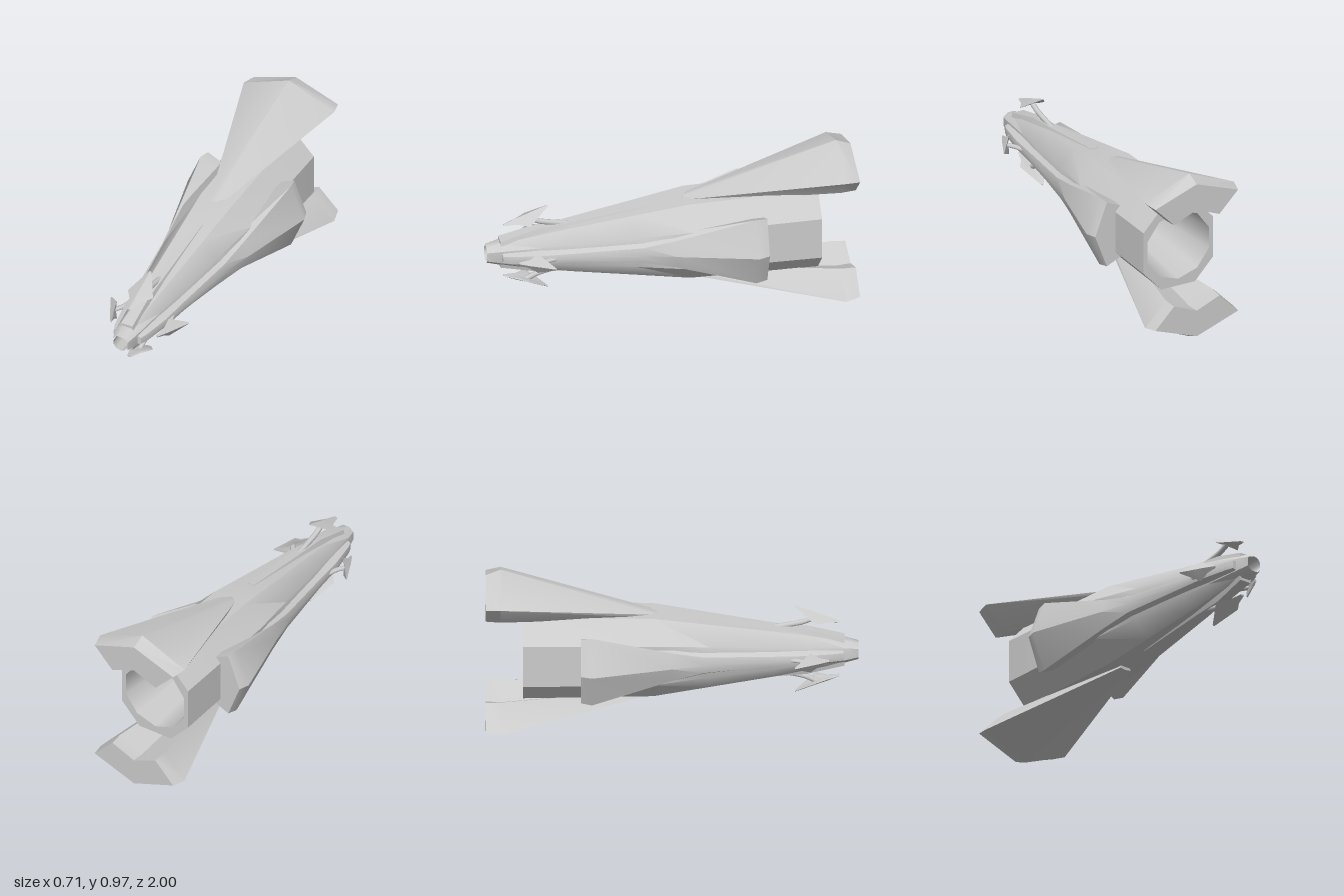
import * as THREE from 'three';
import { toCreasedNormals } from 'three/addons/utils/BufferGeometryUtils.js';

const CY = 0.495; // height of the long axis
const material = new THREE.MeshStandardMaterial({ color: 0xcccccc });
const innerMaterial = new THREE.MeshStandardMaterial({ color: 0xcccccc, side: THREE.BackSide });

// Skin a list of rings (counterclockwise seen from +z, ordered front to back).
function loft(name, rings, { caps = true, crease = 0.6 } = {}) {
  const pos = [], n = rings[0].length;
  const tri = (a, b, c) => pos.push(...a, ...b, ...c);
  for (let i = 0; i < rings.length - 1; i++) {
    const r = rings[i], s = rings[i + 1];
    for (let j = 0; j < n; j++) {
      const k = (j + 1) % n;
      tri(r[j], s[j], r[k]);
      tri(r[k], s[j], s[k]);
    }
  }
  if (caps) {
    const f = rings[0], b = rings[rings.length - 1];
    for (let j = 1; j < n - 1; j++) {
      tri(f[0], f[j], f[j + 1]);
      tri(b[0], b[j + 1], b[j]);
    }
  }
  const geo = new THREE.BufferGeometry();
  geo.setAttribute('position', new THREE.Float32BufferAttribute(pos, 3));
  const mesh = new THREE.Mesh(toCreasedNormals(geo, crease), material);
  mesh.name = name;
  return mesh;
}

// Octagon of half height h and half width w.
function octagon(z, h, w) {
  const a = 0.43 * h, b = 0.56 * w;
  return [[w, -b, z], [w, b, z], [a, h, z], [-a, h, z], [-w, b, z], [-w, -b, z], [-a, -h, z], [a, -h, z]];
}

// Chevron section pointing outward along +y.
function chevron([z, ridge, tipX, tipY, lowX, lowY, inner]) {
  return [[0, ridge, z], [-tipX, tipY, z], [-lowX, lowY, z], [0, inner, z], [lowX, lowY, z], [tipX, tipY, z]];
}

function quad([z, x0, y0, x1, y1]) {
  return [[x1, y1, z], [-x1, y1, z], [-x0, y0, z], [x0, y0, z]];
}

// Small dart-shaped plate on a curved strut.
function winglet(size, drop) {
  const g = new THREE.Group();
  const plate = loft('wingletPlate', [
    [0.9, 0.17, 0.012, 0.164, 0.006, 0.16, 0.16],
    [0.83, 0.2, 0.034, 0.178, 0.02, 0.174, 0.18],
    [0.77, 0.222, 0.076, 0.182, 0.035, 0.184, 0.195],
    [0.66, 0.264, 0.008, 0.258, 0.004, 0.257, 0.258],
  ].map(chevron));
  const path = new THREE.CatmullRomCurve3([
    [0, 0.134, 0.54], [0, 0.152, 0.64], [0, 0.168, 0.71], [0, 0.2, 0.78],
  ].map((p) => new THREE.Vector3(...p)));
  const strut = new THREE.Mesh(new THREE.TubeGeometry(path, 10, 0.015, 8), material);
  strut.name = 'wingletStrut';
  g.add(plate, strut);
  g.scale.set(size, 1, size);
  g.position.set(0, -drop, 0.66 * (1 - size));
  return g;
}

export function createModel() {
  const model = new THREE.Group();
  const ship = new THREE.Group();
  ship.name = 'ship';
  ship.position.y = CY;
  model.add(ship);

  // Tapered outer hull
  const tail = octagon(-0.8, 0.24, 0.215);
  ship.add(loft('hull', [
    octagon(1, 0.047, 0.045), octagon(0.93, 0.064, 0.062),
    octagon(0.72, 0.102, 0.088), octagon(0.55, 0.133, 0.113),
    octagon(0.2, 0.185, 0.16), octagon(-0.1, 0.23, 0.206), tail,
  ], { caps: false, crease: 0.7 }));

  // Ten-sided bore, open at both ends
  const bore = new THREE.Mesh(new THREE.CylinderGeometry(0.042, 0.2, 1.8, 10, 1, true), innerMaterial);
  bore.name = 'bore';
  bore.rotation.x = Math.PI / 2;
  bore.position.z = 0.1;
  ship.add(bore);

  // Flat ring closing the hull around the bore at the tail
  const ring = new THREE.Shape(tail.map(([x, y]) => new THREE.Vector2(x, y)));
  const hole = Array.from({ length: 10 }, (_, i) => {
    const t = i * Math.PI / 5;
    return new THREE.Vector2(0.2 * Math.sin(t), 0.2 * Math.cos(t));
  });
  ring.holes.push(new THREE.Path(hole));
  const tailRing = new THREE.Mesh(new THREE.ShapeGeometry(ring), innerMaterial);
  tailRing.name = 'tailRing';
  tailRing.position.z = -0.8;
  ship.add(tailRing);

  // Turn a part so that its +y points outward in the given direction
  const mount = (name, angle, y, ...parts) => {
    const g = new THREE.Group();
    g.name = name;
    g.rotation.z = angle;
    g.position.y = y;
    g.add(...parts);
    ship.add(g);
  };

  const tailFin = () => loft('tailFinShell', [
    [-0.08, 0.236, 0.035, 0.232, 0.03, 0.21, 0.2],
    [-0.92, 0.484, 0.275, 0.37, 0.145, 0.238, 0.305],
    [-1, 0.452, 0.256, 0.36, 0.14, 0.242, 0.3],
  ].map(chevron));

  // Side fin with a long rail running forward to the nose
  const sideFin = () => loft('sideFinShell', [
    [0.92, 0.084, 0.02, 0.082, 0.03, 0.05, 0.05],
    [0.88, 0.1, 0.022, 0.097, 0.034, 0.055, 0.05],
    [0.72, 0.132, 0.024, 0.126, 0.042, 0.075, 0.075],
    [0.55, 0.15, 0.028, 0.142, 0.05, 0.095, 0.095],
    [0.17, 0.2, 0.046, 0.19, 0.075, 0.14, 0.14],
    [0, 0.242, 0.082, 0.212, 0.1, 0.165, 0.165],
    [-0.43, 0.355, 0.198, 0.275, 0.15, 0.175, 0.185],
    [-0.49, 0.335, 0.19, 0.263, 0.15, 0.175, 0.185],
  ].map(chevron));

  // Tapered block running back from the nose collar
  const noseBlock = () => loft('noseBlock', [
    [0.925, 0.04, 0.05, 0.034, 0.08],
    [0.72, 0.036, 0.09, 0.025, 0.134],
    [0.55, 0.032, 0.12, 0.022, 0.149],
    [0.1, 0.03, 0.17, 0.02, 0.203],
  ].map(quad));

  // Top and bottom sets
  mount('topFin', 0, -0.008, tailFin());
  mount('bottomFin', Math.PI, -0.008, tailFin());
  mount('topNose', 0, 0, noseBlock(), winglet(1, 0));
  mount('bottomNose', Math.PI, 0, noseBlock(), winglet(1, 0.013));

  // Left and right sets
  for (const [side, s] of [['left', -1], ['right', 1]]) {
    mount(side + 'Fin', s * Math.PI / 2, -0.003, sideFin());
    mount(side + 'Winglet', s * Math.PI / 2, -0.003, winglet(0.76, 0.024));
  }
  return model;
}
